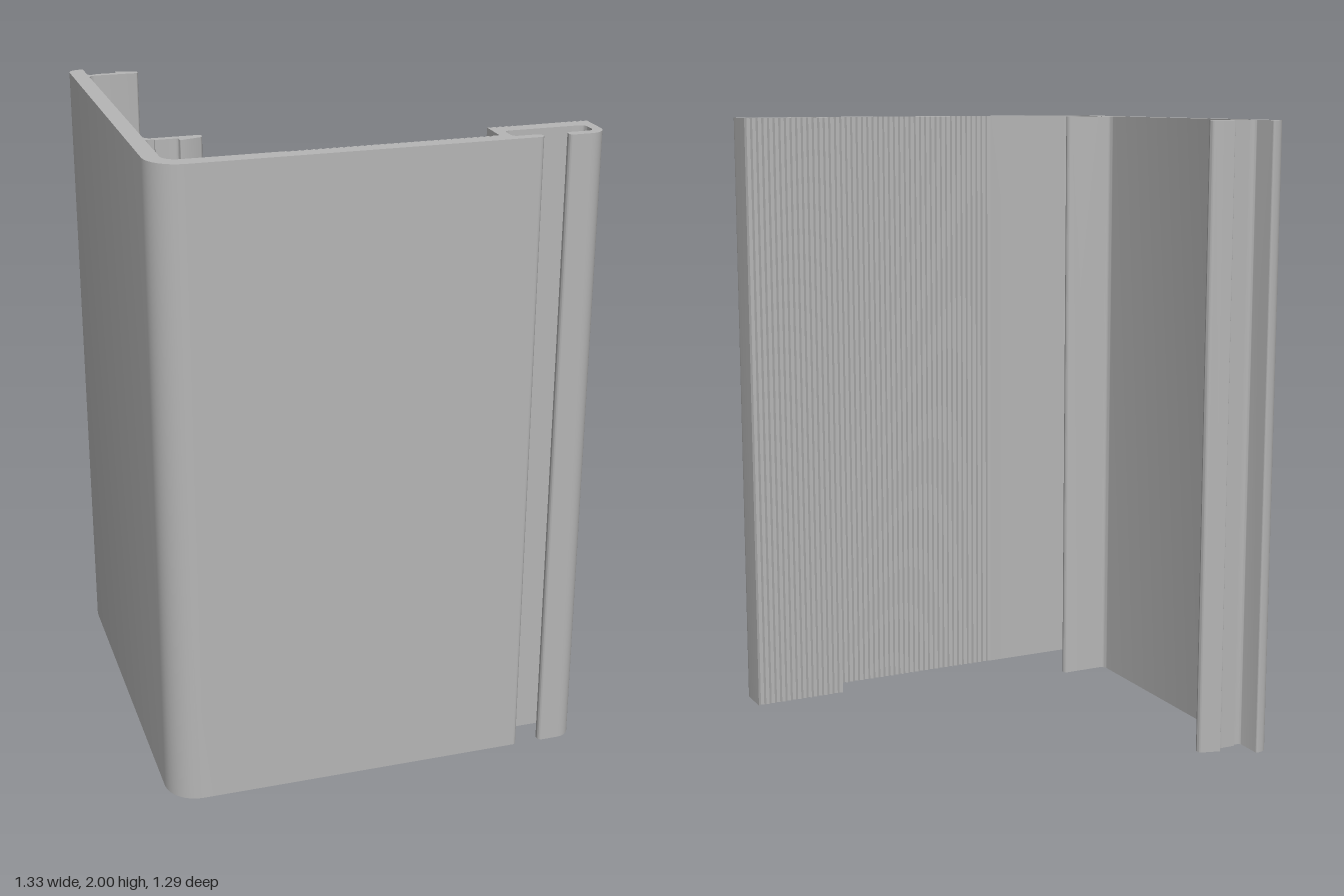
import * as THREE from 'three';
import { toCreasedNormals } from 'three/addons/utils/BufferGeometryUtils.js';

const HEIGHT = 2;

// Closed shape from [x, z, cornerRadius] points; z is flipped so the extrusion can stand upright
function roundedShape(points) {
  const shape = new THREE.Shape();
  const n = points.length;
  const at = (i) => new THREE.Vector2(points[(i + n) % n][0], -points[(i + n) % n][1]);
  for (let i = 0; i < n; i++) {
    const p = at(i), r = points[i][2] || 0;
    const toPrev = at(i - 1).sub(p).normalize(), toNext = at(i + 1).sub(p).normalize();
    const a = p.clone().addScaledVector(toPrev, r), b = p.clone().addScaledVector(toNext, r);
    if (i === 0) shape.moveTo(a.x, a.y);
    else shape.lineTo(a.x, a.y);
    if (r > 0) {
      const c1 = p.clone().addScaledVector(toPrev, r * 0.45);
      const c2 = p.clone().addScaledVector(toNext, r * 0.45);
      shape.bezierCurveTo(c1.x, c1.y, c2.x, c2.y, b.x, b.y);
    }
  }
  shape.closePath();
  return shape;
}

// Fine triangular grip ridges from x0 to x1, peaks at z, valleys deeper
function ridges(x0, x1, z, count) {
  const points = [];
  const step = (x1 - x0) / count;
  for (let i = 0; i < count; i++) {
    points.push([x0 + i * step, z], [x0 + (i + 0.5) * step, z + 0.006]);
  }
  points.push([x1, z]);
  return points;
}

export function createModel() {
  const group = new THREE.Group();
  group.name = 'cornerProfile';
  const aluminium = new THREE.MeshStandardMaterial({ color: 0xb6b6b6 });
  aluminium.name = 'aluminium grey';

  // Barbed snap clip, listed from the barbed side round to the smooth side
  const clip = [
    [-0.617, -0.553, 0.012], [-0.59, -0.553], [-0.59, -0.56], [-0.523, -0.56, 0.008],
    [-0.523, -0.583, 0.003], [-0.453, -0.563, 0.012], [-0.453, -0.537, 0.012], [-0.617, -0.537, 0.022],
  ];
  const mirroredClip = clip.map(([x, z, r]) => [x, -0.199 - z, r]).reverse();

  const outline = [
    // side wall with its two clips
    [-0.667, -0.637, 0.03], [-0.617, -0.647, 0.006],
    ...clip, ...mirroredClip,
    // inner corner and ridged front wall
    [-0.617, 0.588, 0.045],
    ...ridges(-0.275, 0.335, 0.588, 31), [0.353, 0.588],
    // ridged block
    ...ridges(0.353, 0.664, 0.493, 16),
    // slotted channel with two lips
    [0.664, 0.642, 0.05], [0.547, 0.642, 0.013], [0.547, 0.61, 0.013],
    [0.635, 0.61, 0.018], [0.635, 0.545, 0.018], [0.385, 0.545, 0.016], [0.385, 0.61, 0.016],
    [0.471, 0.61, 0.013], [0.471, 0.642, 0.013],
    // outer corner
    [-0.667, 0.642, 0.1],
  ];

  // Whole section drawn out to full height
  const solid = new THREE.ExtrudeGeometry(roundedShape(outline), {
    depth: HEIGHT, bevelEnabled: false, curveSegments: 8,
  });
  solid.rotateX(-Math.PI / 2);
  const mesh = new THREE.Mesh(toCreasedNormals(solid, 0.5), aluminium);
  mesh.name = 'extrudedProfile';
  group.add(mesh);
  return group;
}
